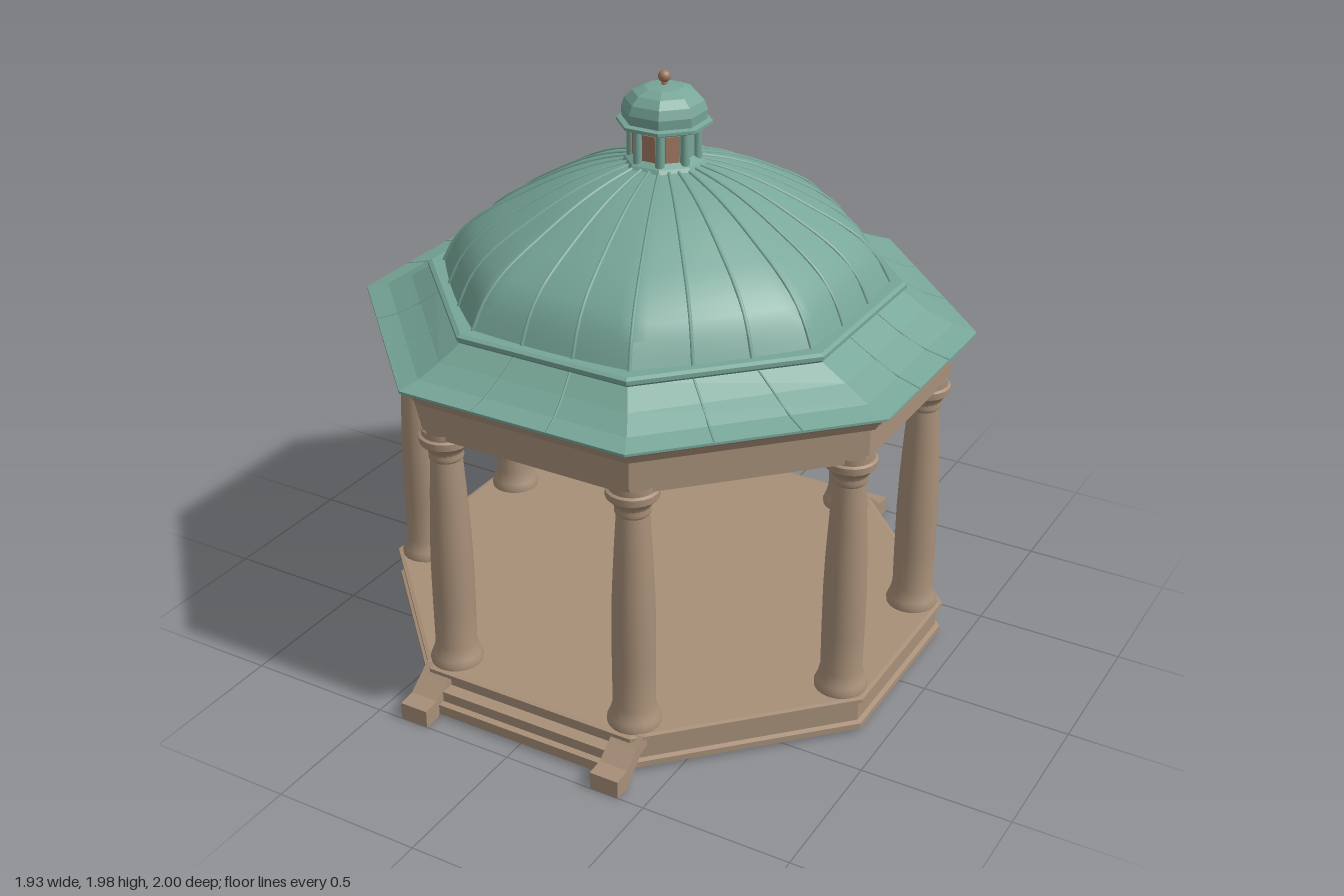
import * as THREE from 'three';
import { toCreasedNormals } from 'three/addons/utils/BufferGeometryUtils.js';

const stone = new THREE.MeshStandardMaterial({ color: 0xa78f78 });
stone.name = 'stone';
const copper = new THREE.MeshStandardMaterial({ color: 0x77a698 });
copper.name = 'green copper';
const bronze = new THREE.MeshStandardMaterial({ color: 0xa07862 });
bronze.name = 'bronze';

// Eight corners of an octagon, given half extents and half side lengths
const corners = (ax, az, hx, hz) => [
  [ax, hz], [hx, az], [-hx, az], [-ax, hz], [-ax, -hz], [-hx, -az], [hx, -az], [ax, -hz]];

// Building plan, slightly shallower than wide
const plan = (r) => (r === 0 ? corners(0, 0, 0, 0) : corners(r, r - 0.042, 0.414 * r, 0.414 * r - 0.055));
const regular = (r) => corners(r, r, 0.414 * r, 0.414 * r);
// Dome plan, slightly deeper than wide
const DOME_DEPTH = 1.025;
const domePlan = (r) => regular(r).map(([x, z]) => [x, z * DOME_DEPTH]);

// Skin between stacked rings; rings going up face outward, going down face inward
function loft(rings, crease = 0, closed = true) {
  const pos = [];
  const tri = (a, b, c) => {
    const ab = new THREE.Vector3().subVectors(b, a);
    if (ab.cross(new THREE.Vector3().subVectors(c, a)).length() > 1e-9) {
      for (const v of [a, b, c]) pos.push(v.x, v.y, v.z);
    }
  };
  const v = ([pts, y], j) => new THREE.Vector3(pts[j % pts.length][0], y, pts[j % pts.length][1]);
  const spans = rings[0][0].length - (closed ? 0 : 1);
  for (let i = 0; i < rings.length - 1; i++) {
    for (let j = 0; j < spans; j++) {
      const a = v(rings[i], j), b = v(rings[i], j + 1), c = v(rings[i + 1], j + 1), d = v(rings[i + 1], j);
      tri(a, d, c);
      tri(a, c, b);
    }
  }
  const geo = new THREE.BufferGeometry();
  geo.setAttribute('position', new THREE.Float32BufferAttribute(pos, 3));
  geo.computeVertexNormals();
  return crease ? toCreasedNormals(geo, crease) : geo;
}
const stack = (shape, profile) => loft(profile.map(([r, y]) => [shape(r), y]));

// Dome section: softly octagonal at the foot, round at the crown
const domeProfile = new THREE.SplineCurve([
  [0.695, 1.29], [0.638, 1.41], [0.555, 1.487], [0.463, 1.545], [0.342, 1.612], [0.225, 1.661], [0.10, 1.695],
].map(([x, y]) => new THREE.Vector2(x, y)));
function domePoint(t, angle, inset = 0) {
  const p = domeProfile.getPoint(t);
  const step = Math.PI / 4;
  const off = angle - Math.round(angle / step) * step;
  const r = (p.x - inset) * (1 + (0.75 - 0.65 * t) * (1 / Math.cos(off) - 1));
  return new THREE.Vector3(Math.cos(angle) * r, p.y - inset, Math.sin(angle) * r * DOME_DEPTH);
}
// Rings of the dome between two panel numbers, 24 panels in all
function domeRings(inset, from, to) {
  return Array.from({ length: 17 }, (_, i) => {
    const pts = Array.from({ length: (to - from) * 4 + 1 }, (_, j) => {
      const p = domePoint(i / 16, ((from + 0.5 + j / 4) / 24) * Math.PI * 2, inset);
      return [p.x, p.z];
    });
    return [pts, domeProfile.getPoint(i / 16).y - inset];
  });
}

export function createModel() {
  const model = new THREE.Group();
  model.name = 'gazebo';
  const add = (name, geo, mat, parent = model) => {
    const mesh = new THREE.Mesh(geo, mat);
    mesh.name = name;
    parent.add(mesh);
    return mesh;
  };

  // Floor slab on a perimeter wall, hollow beneath, with a moulded lip
  add('platform', stack(plan, [[0, 0.1], [0.865, 0.1], [0.865, 0.02], [0.915, 0.02], [0.915, 0.04], [0.9, 0.045],
    [0.9, 0.115], [0.918, 0.122], [0.918, 0.135], [0.905, 0.138], [0, 0.138]]), stone);

  // Steps and sloping cheek blocks at front and back
  const cheek = new THREE.Shape([[0.82, 0.14], [0.85, 0.14], [0.88, 0.115], [0.94, 0.07], [1, 0.065], [1, 0.005],
    [0.94, 0.005], [0.925, 0.02], [0.86, 0.08], [0.82, 0.09]].reverse().map(([x, y]) => new THREE.Vector2(x, y)));
  const cheekGeo = new THREE.ExtrudeGeometry(cheek, { depth: 0.1, bevelEnabled: false });
  cheekGeo.rotateY(-Math.PI / 2);
  for (const turn of [0, Math.PI]) {
    const stair = new THREE.Group();
    stair.name = turn ? 'backStairs' : 'frontStairs';
    stair.rotation.y = turn;
    model.add(stair);
    [[0.93, 0.05], [0.905, 0.085]].forEach(([z, top], i) => {
      const step = add('step' + (i + 1), new THREE.BoxGeometry(0.64, top - 0.015, z - 0.84), stone, stair);
      step.position.set(0, (top + 0.015) / 2, (z + 0.84) / 2);
    });
    for (const x of [-0.31, 0.41]) add('cheekBlock', cheekGeo, stone, stair).position.x = x;
  }

  // Columns at the eight corners, with a swelling shaft
  const columnGeo = toCreasedNormals(new THREE.LatheGeometry([
    [0, 0.136], [0.086, 0.136], [0.087, 0.152], [0.08, 0.168], [0.074, 0.185], [0.068, 0.21], [0.069, 0.35],
    [0.069, 0.5], [0.066, 0.62], [0.058, 0.78], [0.051, 0.89], [0.056, 0.896], [0.056, 0.908], [0.055, 0.918],
    [0.066, 0.935], [0.083, 0.952], [0.084, 0.975], [0.075, 0.98], [0.075, 1.0],
  ].map(([x, y]) => new THREE.Vector2(x, y)), 20), 0.7);
  for (const [x, z] of plan(0.82)) add('column', columnGeo, stone).position.set(x, 0, z);

  // Beam ring and projecting cornice
  add('entablature', stack(plan, [[0.77, 0.985], [0.88, 0.985], [0.88, 1.005], [0.893, 1.012], [0.893, 1.1],
    [0.91, 1.108], [0.925, 1.135], [0.948, 1.155], [0.952, 1.164], [0.77, 1.164], [0.77, 0.985]]), stone);

  // Flared skirt roof with a thin edge, its lining and the soffit under the dome rim
  const skirt = [[plan(0.962), 1.168], [corners(0.885, 0.86, 0.37, 0.325), 1.188],
    [corners(0.80, 0.795, 0.335, 0.305), 1.228], [domePlan(0.705), 1.285]];
  add('skirtRoof', loft([[plan(0.945), 1.16], [plan(0.962), 1.16], ...skirt]), copper);
  const lining = skirt.map(([p, y]) => [p.map(([x, z]) => [x * 0.985, z * 0.985]), y - 0.012]).reverse();
  add('skirtLining', loft([[domePlan(0.65), 1.273], ...lining]), stone);

  // Low standing seams across the skirt
  for (let side = 0; side < 8; side++) {
    for (const t of [1 / 3, 2 / 3]) {
      const path = skirt.map(([p, y]) => {
        const a = p[side], b = p[(side + 1) % 8];
        return new THREE.Vector3(a[0] + (b[0] - a[0]) * t, y, a[1] + (b[1] - a[1]) * t);
      });
      add('skirtSeam', new THREE.TubeGeometry(new THREE.CatmullRomCurve3(path), 8, 0.004, 5), copper);
    }
  }

  // Dome, its rim and inner lining, which is bare copper on the model's right side
  add('domeRim', stack(domePlan, [[0.69, 1.272], [0.715, 1.276], [0.727, 1.287], [0.727, 1.3],
    [0.715, 1.307], [0.66, 1.307]]), copper);
  add('dome', loft(domeRings(0, 0, 24), 0.5, false), copper);
  add('domeLining', loft(domeRings(0.015, 13, 34).reverse(), 0.5, false), stone);
  add('bareLining', loft(domeRings(0.015, 10, 13).reverse(), 0.5, false), copper);
  add('liningCrown', new THREE.CircleGeometry(0.1, 24).rotateX(Math.PI / 2), stone).position.y = 1.679;

  // Ribs outside and inside the dome
  for (let k = 0; k < 24; k++) {
    const angle = ((k + 0.5) / 24) * Math.PI * 2;
    for (const [name, inset, mat] of [['domeRib', 0, copper], ['innerRib', 0.016, stone]]) {
      const pts = Array.from({ length: 9 }, (_, i) => domePoint(i / 8, angle, inset));
      add(name, new THREE.TubeGeometry(new THREE.CatmullRomCurve3(pts), 20, 0.0065, 6), mat);
    }
  }

  // Lantern drum with posts, and bronze panels on its front sides
  add('lanternDrum', stack(regular, [[0.128, 1.685], [0.118, 1.7], [0.094, 1.715], [0.094, 1.8],
    [0.11, 1.815]]), copper);
  for (let k = 0; k < 8; k++) {
    const angle = (k * Math.PI) / 4;
    const post = add('lanternPost', new THREE.CylinderGeometry(0.014, 0.016, 0.11, 8), copper);
    post.position.set(Math.cos(angle + Math.PI / 8) * 0.106, 1.757, Math.sin(angle + Math.PI / 8) * 0.106);
    if (k < 1 || k > 3) continue;
    const panel = add('lanternPanel', new THREE.BoxGeometry(0.046, 0.085, 0.008), bronze);
    panel.position.set(Math.cos(angle) * 0.096, 1.757, Math.sin(angle) * 0.096);
    panel.rotation.y = Math.PI / 2 - angle;
  }

  // Lantern cornice and cap
  add('lanternCornice', stack(regular, [[0.09, 1.802], [0.125, 1.812], [0.143, 1.82], [0.143, 1.83],
    [0.12, 1.836]]), copper);
  add('lanternCap', stack(regular, [[0.126, 1.83], [0.128, 1.865], [0.118, 1.895], [0.095, 1.92],
    [0.06, 1.936], [0, 1.943]]), copper);

  // Finial
  add('finialStem', new THREE.CylinderGeometry(0.007, 0.011, 0.04, 10), bronze).position.y = 1.95;
  add('finialBall', new THREE.SphereGeometry(0.02, 16, 12), bronze).position.y = 1.968;

  return model;
}
